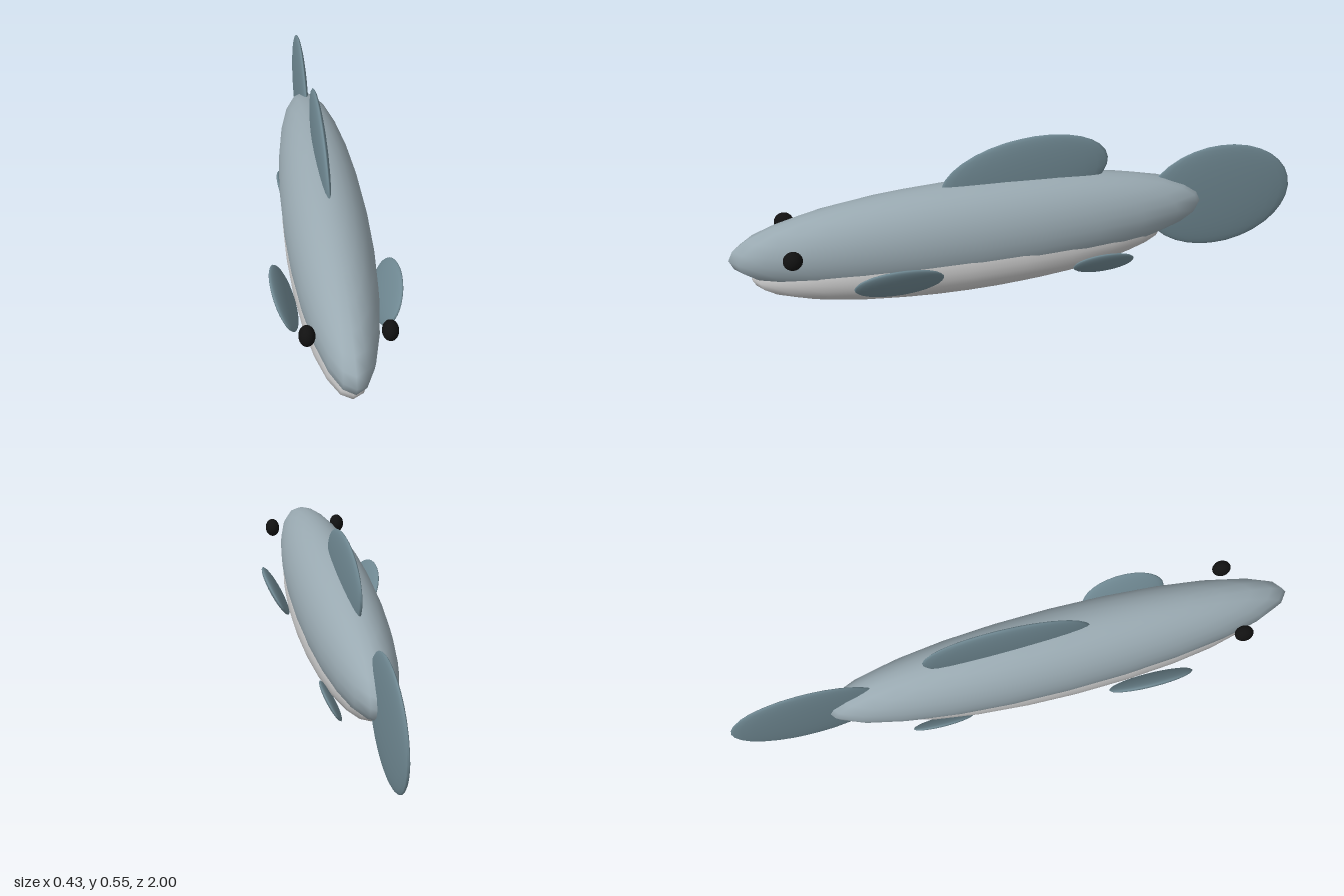
import * as THREE from 'three';

const material = (color) => new THREE.MeshStandardMaterial({ color });

export function createModel() {
  const model = new THREE.Group();
  model.name = 'fish';
  const skin = material(0x9aaab2);
  const belly = material(0xcccccc);
  const fin = material(0x6f8892);
  const black = material(0x111111);

  // Every part is a stretched sphere
  const sphere = new THREE.SphereGeometry(1, 24, 16);
  function ellipsoid(name, mat, radii, position, rotation = [0, 0, 0]) {
    const mesh = new THREE.Mesh(sphere, mat);
    mesh.name = name;
    mesh.scale.set(...radii);
    mesh.position.set(...position);
    mesh.rotation.set(...rotation);
    model.add(mesh);
  }

  // Body and pale underside
  ellipsoid('body', skin, [0.143, 0.18, 0.835], [0, 0.225, 0.165]);
  ellipsoid('belly', belly, [0.139, 0.14, 0.73], [0, 0.14, 0.2]);

  // Upright fins on the centre line
  ellipsoid('tailFin', fin, [0.02, 0.202, 0.27], [0, 0.224, -0.73]);
  ellipsoid('dorsalFin', fin, [0.02, 0.146, 0.296], [0, 0.405, -0.02], [0.12, 0, 0]);

  // Mirrored side fins and eyes
  for (const [side, s] of [['left', 1], ['right', -1]]) {
    ellipsoid(side + 'PectoralFin', fin, [0.0165, 0.086, 0.152],
      [s * 0.169, 0.154, 0.456], [0, 0, -s * 0.53]);
    ellipsoid(side + 'PelvicFin', fin, [0.012, 0.062, 0.11],
      [s * 0.097, 0.069, -0.28], [0, 0, -s * 0.53]);
    ellipsoid(side + 'Eye', black, [0.026, 0.033, 0.033], [s * 0.127, 0.272, 0.797]);
  }
  return model;
}
